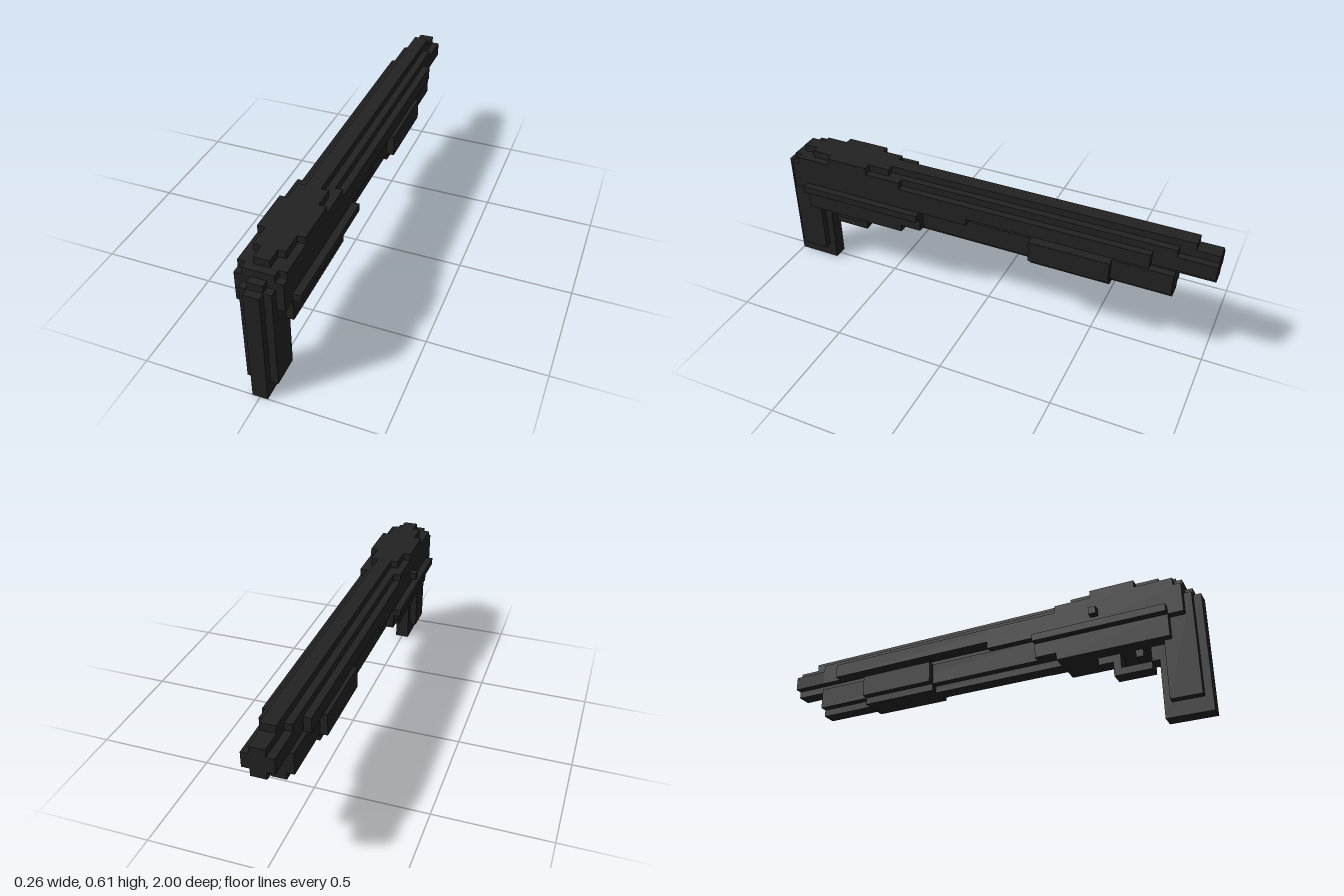
import * as THREE from 'three';

const U = 2 / 62; // one block of the grid

export function createModel() {
  const model = new THREE.Group();
  model.name = 'blockyLongGun';
  const gunmetal = new THREE.MeshStandardMaterial({ color: 0x222222, flatShading: true });
  gunmetal.name = 'darkGunmetal';

  // Box given by ranges in grid units
  const span = (name, x0, x1, y0, y1, z0, z1) => {
    const geo = new THREE.BoxGeometry((x1 - x0) * U, (y1 - y0) * U, (z1 - z0) * U);
    geo.translate((x0 + x1) / 2 * U, (y0 + y1) / 2 * U, (z0 + z1) / 2 * U);
    const mesh = new THREE.Mesh(geo, gunmetal);
    mesh.name = name;
    model.add(mesh);
  };
  // Box centred on x = 0 with half width w
  const bar = (name, w, y0, y1, z0, z1) => span(name, -w, w, y0, y1, z0, z1);

  // Grip with a stepped, rounded section
  bar('gripCore', 1, 0, 16, 25, 31);
  bar('gripSides', 2, 2, 16, 26, 30);
  bar('gripCap', 1, 16, 17, 28, 30);
  bar('gripNeck', 1, 8, 10, 24, 25);

  // Receiver
  bar('receiver', 3, 13, 17, 12, 29);
  bar('receiverTop', 2, 17, 18, 12, 29);
  bar('receiverShoulder', 3, 17, 18, 12, 28);
  bar('lowerReceiver', 3, 10, 13, 12, 27);
  bar('lowerReceiverFront', 3, 11, 14, 9, 12);
  bar('receiverSideRail', 4, 13, 14, 9, 27);
  span('sideButton', -4, -3, 15, 16, 17, 18);

  // Stepped plate on top of the receiver
  bar('topPlateWide', 3, 18, 19, 17, 23);
  bar('topPlateNarrow', 2, 18, 19, 14, 26);

  // Sight rib, barrel and muzzle
  bar('sightRib', 1, 18, 19, -28, 28);
  bar('barrel', 2, 15, 18, -26, 12);
  bar('muzzleCore', 1, 14, 18, -31, 12);
  bar('muzzleSides', 2, 15, 17, -31, -26);
  bar('barrelRail', 3, 15, 17, -23, 12);
  bar('barrelRailRear', 3, 14, 17, 2, 12);

  // Tube under the barrel and the sliding fore-end
  bar('magazineTube', 2, 11, 14, -26, 9);
  bar('magazineTubeBottom', 1, 10, 11, -26, 12);
  bar('foreEnd', 3, 11, 14, -18, -7);
  bar('foreEndBottom', 2, 10, 11, -18, -7);

  // Trigger and guard
  bar('trigger', 1, 9, 10, 22, 23);
  bar('guardBottom', 1, 7, 8, 19, 24);
  bar('guardFront', 1, 8, 10, 19, 20);
  bar('guardMount', 1, 9, 10, 17, 19);

  return model;
}
